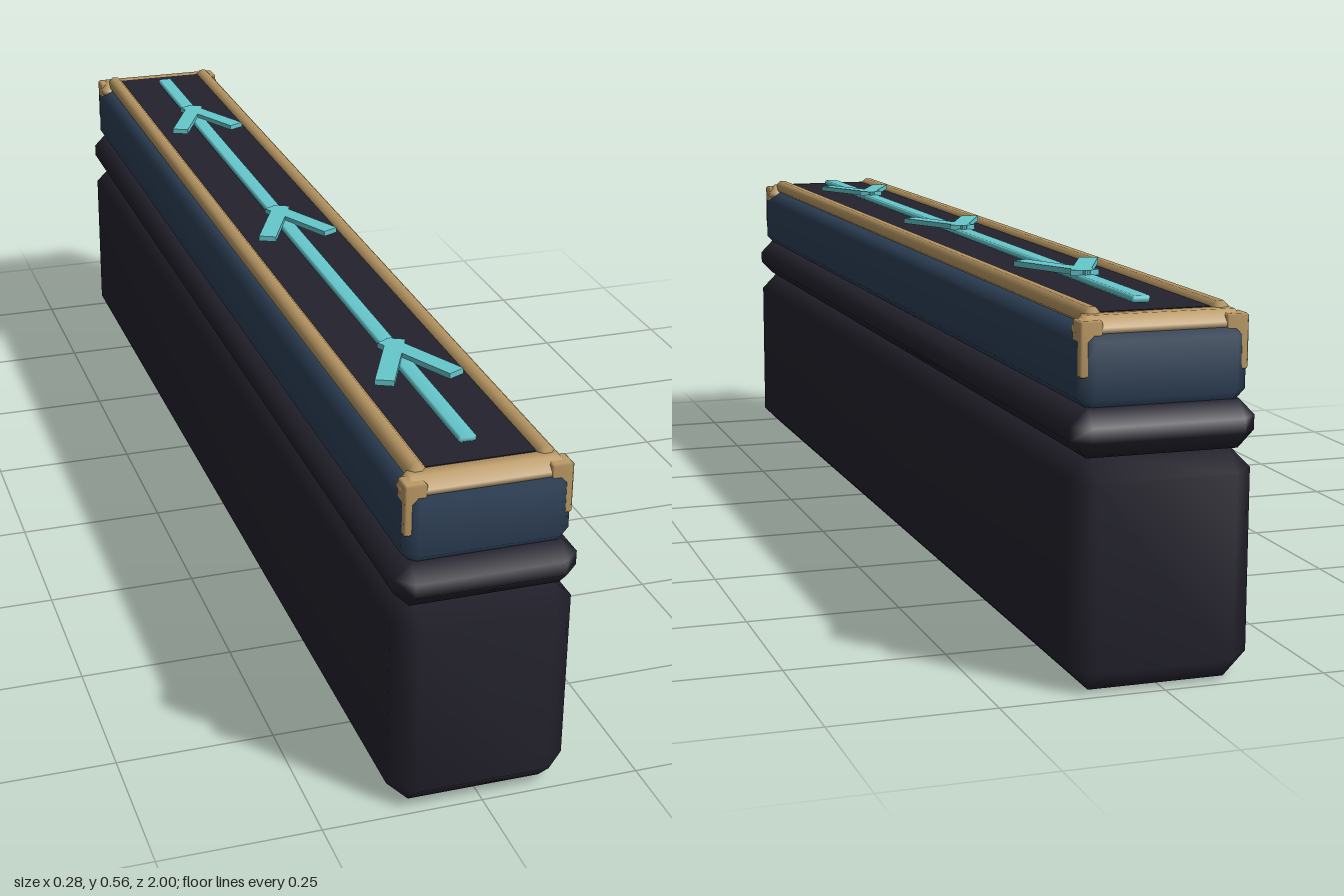
import * as THREE from 'three';
import { mergeVertices } from 'three/addons/utils/BufferGeometryUtils.js';
import { ConvexGeometry } from 'three/addons/geometries/ConvexGeometry.js';

const material = (name, color) => {
  const m = new THREE.MeshStandardMaterial({ color });
  m.name = name;
  return m;
};

// Box with 45-degree chamfers on every edge and soft, area-weighted normals
function chamferBox(w, h, d, c) {
  const points = [];
  for (const x of [-1, 1]) for (const y of [-1, 1]) for (const z of [-1, 1]) {
    for (let axis = 0; axis < 3; axis++) {
      const inset = [c, c, c];
      inset[axis] = 0;
      points.push(new THREE.Vector3(
        x * (w / 2 - inset[0]), y * (h / 2 - inset[1]), z * (d / 2 - inset[2])));
    }
  }
  const hull = new ConvexGeometry(points);
  hull.deleteAttribute('normal');
  const geometry = mergeVertices(hull, 1e-5);
  geometry.computeVertexNormals();
  return geometry;
}

export function createModel() {
  const model = new THREE.Group();
  model.name = 'directionalWall';
  const dark = material('charcoal', 0x23222d);
  const blue = material('slate blue', 0x2d4057);
  const gold = material('brass', 0xb99864);
  const cyan = material('cyan', 0x66c8cd);

  const add = (name, geometry, mat, x, y, z, parent = model) => {
    const mesh = new THREE.Mesh(geometry, mat);
    mesh.name = name;
    mesh.position.set(x, y, z);
    parent.add(mesh);
    return mesh;
  };

  // Stacked body
  add('base', chamferBox(0.28, 0.344, 2, 0.035), dark, 0, 0.172, 0);
  add('collar', chamferBox(0.28, 0.072, 2, 0.025), dark, 0, 0.377, 0);
  add('upperBody', chamferBox(0.256, 0.122, 1.976, 0.021), blue, 0, 0.465, 0);
  add('topInlay', new THREE.BoxGeometry(0.18, 0.02, 1.88), dark, 0, 0.531, 0);

  // Brass trim: side rails, end bars and corner posts
  const rail = chamferBox(0.027, 0.028, 1.9, 0.008);
  const endBar = chamferBox(0.254, 0.04, 0.052, 0.016);
  const post = chamferBox(0.034, 0.08, 0.034, 0.003);
  for (const s of [-1, 1]) {
    add('sideRail', rail, gold, s * 0.0975, 0.535, 0);
    add('endBar', endBar, gold, 0, 0.52, s * 0.951);
    for (const x of [-1, 1]) add('cornerPost', post, gold, x * 0.11, 0.495, s * 0.962);
  }

  // Direction marking: centre strip and three chevrons pointing to the back
  add('centreStrip', chamferBox(0.028, 0.011, 1.78, 0.003), cyan, 0, 0.5475, 0);
  const arm = new THREE.BoxGeometry(0.03, 0.009, 0.155);
  for (const z of [-0.6, 0.01, 0.625]) {
    const chevron = new THREE.Group();
    chevron.name = 'chevron';
    chevron.position.set(0, 0.5555, z);
    for (const s of [-1, 1]) {
      add('chevronArm', arm, cyan, s * 0.024, 0, 0, chevron).rotation.y = s * 0.45;
    }
    model.add(chevron);
  }
  return model;
}
